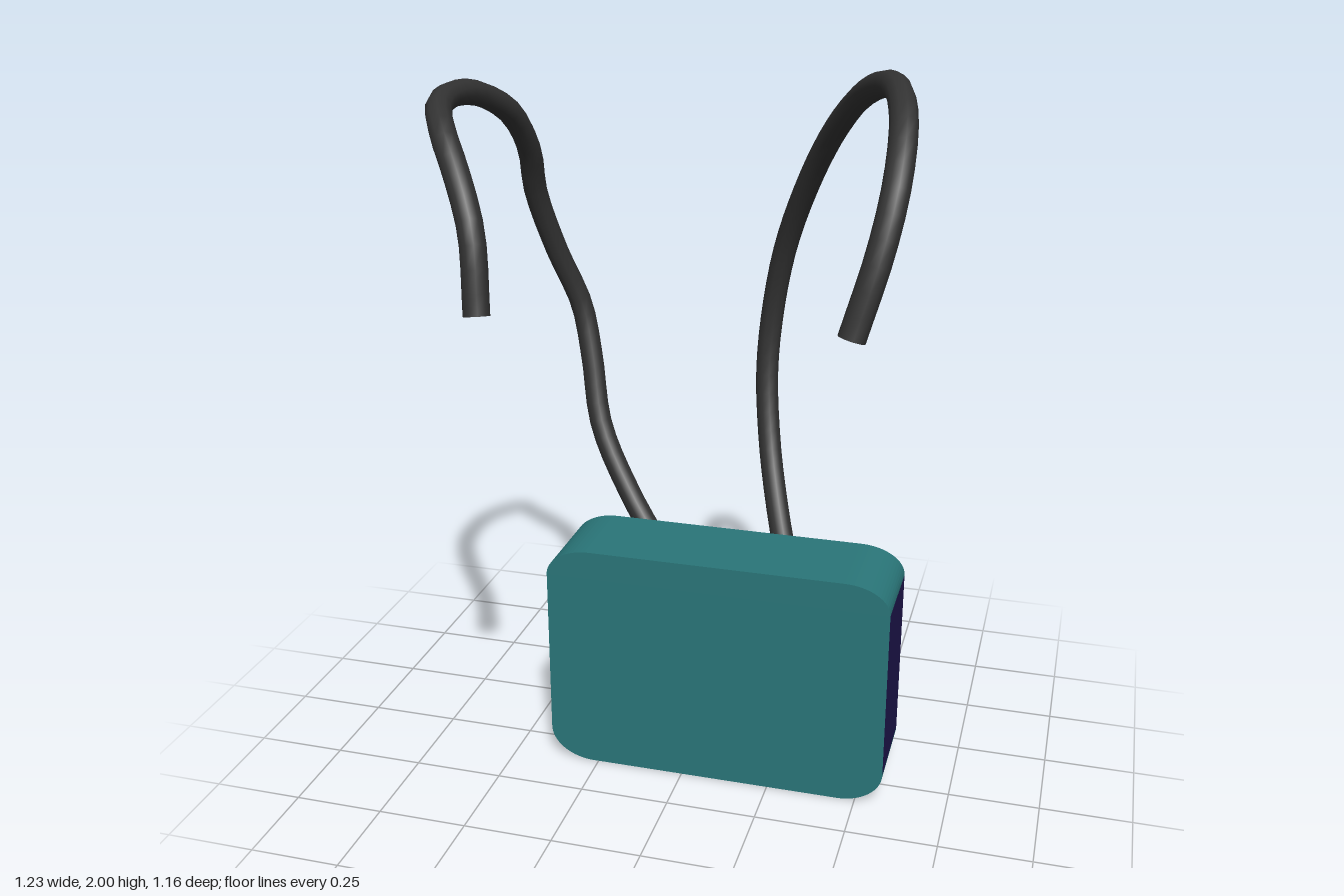
import * as THREE from 'three';

const teal = new THREE.MeshStandardMaterial({ color: 0x2a7679 });
const purple = new THREE.MeshStandardMaterial({ color: 0x1f164f });
const rubber = new THREE.MeshStandardMaterial({ color: 0x333333 });

// The side walls and back of every layer are purple between these heights
const BAND_LOW = 0.095, BAND_HIGH = 0.585;

function add(parent, name, geometry, material) {
  const mesh = new THREE.Mesh(geometry, material);
  mesh.name = name;
  parent.add(mesh);
  return mesh;
}

// Strip with two elliptical outer corners, from the band edge yIn to the outer edge yOut
function capGeometry(x0, x1, yIn, yOut, z0, z1, rx) {
  const ry = Math.abs(yOut - yIn), up = yOut > yIn;
  const shape = new THREE.Shape();
  if (up) {
    shape.moveTo(x1, yIn);
    shape.absellipse(x1 - rx, yIn, rx, ry, 0, Math.PI / 2, false);
    shape.absellipse(x0 + rx, yIn, rx, ry, Math.PI / 2, Math.PI, false);
  } else {
    shape.moveTo(x0, yIn);
    shape.absellipse(x0 + rx, yIn, rx, ry, Math.PI, Math.PI * 1.5, false);
    shape.absellipse(x1 - rx, yIn, rx, ry, Math.PI * 1.5, Math.PI * 2, false);
  }
  shape.closePath();
  return new THREE.ExtrudeGeometry(shape, { depth: z1 - z0, bevelEnabled: false, curveSegments: 8 })
    .translate(0, 0, z0);
}

// One layer of the case: purple banded middle with teal rounded top and bottom
function makeLayer(name, x0, x1, y0, y1, z0, z1, rx) {
  const layer = new THREE.Group();
  layer.name = name;
  const middle = new THREE.BoxGeometry(x1 - x0, BAND_HIGH - BAND_LOW, z1 - z0)
    .translate((x0 + x1) / 2, (BAND_LOW + BAND_HIGH) / 2, (z0 + z1) / 2);
  add(layer, name + 'Middle', middle, [purple, purple, teal, teal, teal, purple]);
  add(layer, name + 'Top', capGeometry(x0, x1, BAND_HIGH, y1, z0, z1, rx), teal);
  add(layer, name + 'Bottom', capGeometry(x0, x1, BAND_LOW, y0, z0, z1, rx), teal);
  return layer;
}

// Bent hose with closed ends and a flared socket where it leaves the case
function makeHose(name, points) {
  const hose = new THREE.Group();
  hose.name = name;
  const radius = 0.033, sides = 10;
  const curve = new THREE.CatmullRomCurve3(points.map(p => new THREE.Vector3(...p)));
  add(hose, name + 'Tube', new THREE.TubeGeometry(curve, 48, radius, sides), rubber);

  const tip = add(hose, name + 'Tip', new THREE.CircleGeometry(radius, sides), rubber);
  tip.position.copy(curve.getPointAt(1));
  tip.quaternion.setFromUnitVectors(new THREE.Vector3(0, 0, 1), curve.getTangentAt(1));

  const socket = add(hose, name + 'Socket', new THREE.CylinderGeometry(0.036, 0.055, 0.09, 8), rubber);
  const direction = curve.getTangentAt(0).add(new THREE.Vector3(0, 0, -1)).normalize();
  socket.quaternion.setFromUnitVectors(new THREE.Vector3(0, 1, 0), direction);
  socket.position.copy(curve.getPointAt(0)).addScaledVector(direction, 0.02);
  return hose;
}

export function createModel() {
  const model = new THREE.Group();
  model.name = 'packWithHoses';

  // Case, stepping in towards the back
  model.add(
    makeLayer('mainCase', -0.39, 0.575, 0, 0.665, -0.16, 0.1, 0.125),
    makeLayer('rearStep', -0.32, 0.505, 0.05, 0.62, -0.235, -0.16, 0.06),
    makeLayer('backPanel', -0.295, 0.48, 0.07, 0.6, -0.25, -0.235, 0.04)
  );

  // Hoses arching up from the back panel and over to the front
  model.add(makeHose('leftHose', [
    [0.23, 0.48, -0.25], [0.16, 0.66, -0.38], [0.115, 0.82, -0.47], [0.09, 1.02, -0.53],
    [0.1, 1.2, -0.545], [0.14, 1.4, -0.51], [0.215, 1.6, -0.42], [0.31, 1.78, -0.29],
    [0.415, 1.91, -0.12], [0.52, 1.965, 0.1], [0.57, 1.92, 0.28], [0.58, 1.8, 0.41],
    [0.56, 1.66, 0.475], [0.51, 1.47, 0.515]
  ]));
  model.add(makeHose('rightHose', [
    [-0.13, 0.48, -0.25], [-0.28, 0.66, -0.335], [-0.39, 0.85, -0.4], [-0.435, 1.05, -0.455],
    [-0.47, 1.2, -0.475], [-0.525, 1.37, -0.43], [-0.555, 1.56, -0.35], [-0.54, 1.7, -0.27],
    [-0.545, 1.82, -0.15], [-0.575, 1.89, 0], [-0.583, 1.905, 0.13], [-0.562, 1.895, 0.26],
    [-0.5, 1.85, 0.38], [-0.44, 1.77, 0.45], [-0.385, 1.65, 0.51], [-0.365, 1.465, 0.55]
  ]));
  return model;
}
